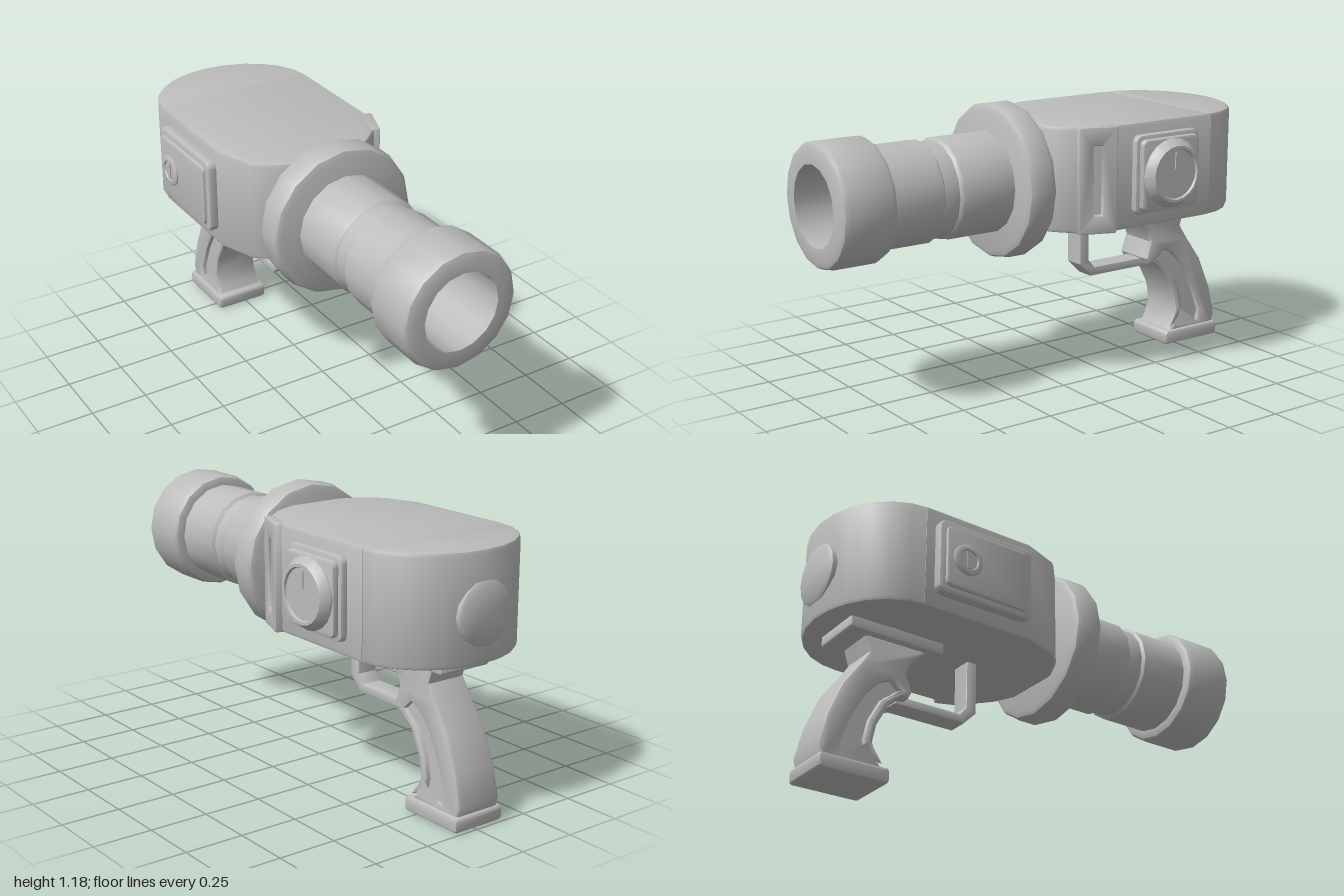
import * as THREE from 'three';
import { toCreasedNormals } from 'three/addons/utils/BufferGeometryUtils.js';

const AXIS_Y = 0.858; // height of the barrel axis
const grey = new THREE.MeshStandardMaterial({ color: 0xbcbcbc });
grey.name = 'plain grey';

function mesh(name, geometry, parent) {
  const m = new THREE.Mesh(toCreasedNormals(geometry, 0.7), grey);
  m.name = name;
  parent.add(m);
  return m;
}

const toShape = (pts) => new THREE.Shape(pts.map(([x, y]) => new THREE.Vector2(x, y)));

// Extrusion with softened edges that stays inside its outline, z from 0 to depth
function slab(shape, depth, bevel, curveSegments = 6) {
  const g = new THREE.ExtrudeGeometry(shape, {
    depth: depth - 2 * bevel, bevelEnabled: bevel > 0, bevelSize: bevel, bevelThickness: bevel,
    bevelOffset: -bevel, bevelSegments: 2, curveSegments,
  });
  return g.translate(0, 0, bevel);
}

// Plan outline [x, z] raised from y0 to y1
function planSlab(points, y0, y1, bevel) {
  return slab(toShape(points.map(([x, z]) => [x, -z])), y1 - y0, bevel)
    .rotateX(-Math.PI / 2).translate(0, y0, 0);
}

// Side shape drawn as (-z, y), spread across x from x0 to x1
function sideSlab(shape, x0, x1, bevel) {
  return slab(shape, x1 - x0, bevel).rotateY(Math.PI / 2).translate(x0, 0, 0);
}

function roundedRect(cx, cy, w, h, r) {
  const s = new THREE.Shape();
  const a = w / 2 - r, b = h / 2 - r;
  s.absarc(cx + a, cy + b, r, 0, Math.PI / 2);
  s.absarc(cx - a, cy + b, r, Math.PI / 2, Math.PI);
  s.absarc(cx - a, cy - b, r, Math.PI, Math.PI * 1.5);
  s.absarc(cx + a, cy - b, r, Math.PI * 1.5, Math.PI * 2);
  return s;
}

// Turned part from [radius, height] points, initially along y
const turned = (pts, sides) =>
  new THREE.LatheGeometry(pts.map(([r, h]) => new THREE.Vector2(r, h)), sides);

// Rounded outer corners of a collar between two heights
function collar(r, h0, h1, b) {
  const c = b * 0.3;
  return [[r - b, h0], [r - c, h0 + c], [r, h0 + b], [r, h1 - b], [r - c, h1 - c], [r - b, h1]];
}

function addBarrel(root) {
  const barrel = new THREE.Group();
  barrel.name = 'barrel';
  barrel.position.y = AXIS_Y;
  root.add(barrel);
  const add = (name, pts) => mesh(name, turned(pts, 16).rotateX(Math.PI / 2), barrel);
  add('mountingRing', [[0, 0.07], ...collar(0.327, 0.07, 0.205, 0.03), [0, 0.205]]);
  add('barrelTube', [
    [0.212, 0.19], [0.212, 0.44], [0.208, 0.45], [0.2, 0.458],
    [0.2, 0.525], [0.212, 0.535], [0.212, 0.78],
  ]);
  // Muzzle with an open bore
  add('muzzle', [
    [0.2, 0.76], ...collar(0.255, 0.76, 1, 0.03), [0.167, 1], [0.167, 0.35], [0, 0.35],
  ]);
}

function addBody(root) {
  const W = 0.357, y0 = 0.657, y1 = 1.105;
  const half = [[W, -0.705], [W, -0.2], [0.3, -0.04], [0.22, 0.03], [0.13, 0.072]];
  const mirrored = half.slice().reverse().map(([x, z]) => [-x, z]);
  mesh('mainBody', planSlab([...half, ...mirrored], y0, y1, 0.018), root);

  // Rounded rear housing
  const rear = [];
  for (let i = 0; i <= 12; i++) {
    const a = (i / 12) * Math.PI;
    rear.push([-W * Math.cos(a), -0.69 - 0.302 * Math.sin(a)]);
  }
  mesh('rearHousing', planSlab(rear, y0, y1, 0.018), root);
  mesh('rearCap', turned([[0.13, 0], [0.13, 0.03], [0.115, 0.04], [0, 0.04]], 16)
    .rotateX(-Math.PI / 2).translate(0, AXIS_Y, -0.96), root);

  // Angled side plate with a vertical slot
  const plate = new THREE.Group();
  plate.name = 'slottedPlate';
  plate.position.set(0.353, 0.881, -0.108);
  plate.rotation.y = 1.213;
  root.add(plate);
  const face = roundedRect(0, 0, 0.168, 0.446, 0.012);
  face.holes.push(roundedRect(0, 0, 0.04, 0.29, 0.004));
  mesh('plateFrame', slab(face, 0.07, 0.008, 2).translate(0, 0, -0.07), plate);
  mesh('slotFloor', new THREE.BoxGeometry(0.07, 0.32, 0.03).translate(0, 0, -0.04), plate);
}

function addDial(root) {
  const dial = new THREE.Group();
  dial.name = 'dial';
  root.add(dial);
  const z = -0.447, y = 0.885;
  mesh('dialBase', sideSlab(roundedRect(-z, y, 0.335, 0.335, 0.03), 0.34, 0.385, 0.01), dial);
  mesh('dialStep', sideSlab(roundedRect(-z, y, 0.3, 0.3, 0.025), 0.37, 0.41, 0.01), dial);
  mesh('dialKnob', turned([
    [0.146, 0], [0.146, 0.014], [0.12, 0.046], [0.108, 0.046], [0.104, 0.036], [0, 0.036],
  ], 20).rotateZ(-Math.PI / 2).translate(0.404, y, z), dial);
  mesh('dialPointer', new THREE.BoxGeometry(0.008, 0.07, 0.016)
    .translate(0.442, y + 0.058, z), dial);
}

function addLeftPanel(root) {
  const panel = new THREE.Group();
  panel.name = 'leftPanel';
  root.add(panel);
  const y = 0.883, z = -0.442;
  mesh('panelBase', sideSlab(roundedRect(-z, y, 0.445, 0.325, 0.035), -0.395, -0.34, 0.012), panel);
  mesh('panelCover', sideSlab(roundedRect(-z, y, 0.39, 0.27, 0.025), -0.408, -0.38, 0.008), panel);
  // Latch with a slit across its face
  mesh('latch', turned([
    [0.068, 0], [0.068, 0.012], [0.06, 0.017], [0.045, 0.017], [0.042, 0.011], [0, 0.011],
  ], 16).rotateZ(Math.PI / 2).translate(-0.402, y, -0.543), panel);
  mesh('latchBar', new THREE.BoxGeometry(0.008, 0.075, 0.018).translate(-0.414, y, -0.543), panel);
}

function addHandle(root) {
  const handle = new THREE.Group();
  handle.name = 'handle';
  root.add(handle);
  mesh('handleMount', sideSlab(roundedRect(0.675, 0.64, 0.43, 0.06, 0.01), -0.122, 0.122, 0.01), handle);
  mesh('handleFoot', sideSlab(roundedRect(0.84, 0.0325, 0.305, 0.065, 0.018), -0.122, 0.122, 0.015), handle);

  // The grip widens slightly towards the foot
  const flare = (g) => {
    const p = g.attributes.position;
    for (let i = 0; i < p.count; i++) p.setX(i, p.getX(i) * (1.16 - 0.3 * p.getY(i)));
    return g;
  };
  const outline = toShape([
    [0.71, 0.05], [0.735, 0.09], [0.757, 0.16], [0.74, 0.24], [0.687, 0.338], [0.64, 0.386],
    [0.6, 0.391], [0.585, 0.418], [0.612, 0.493], [0.59, 0.552], [0.516, 0.615],
    [0.805, 0.615], [0.783, 0.545], [0.82, 0.488], [0.9, 0.375], [0.96, 0.23],
    [0.99, 0.1], [0.976, 0.05],
  ].reverse());
  const inset = [
    [0.74, 0.085], [0.785, 0.11], [0.797, 0.165], [0.78, 0.25], [0.728, 0.348], [0.65, 0.41],
    [0.685, 0.445], [0.73, 0.425], [0.79, 0.36], [0.85, 0.25], [0.895, 0.13], [0.885, 0.085],
  ];
  outline.holes.push(new THREE.Path(inset.map(([x, y]) => new THREE.Vector2(x, y))));
  mesh('gripFrame', flare(sideSlab(outline, -0.094, 0.094, 0.016)), handle);
  // Recessed side panels fill the frame
  const core = inset.map(([x, y]) => [0.78 + (x - 0.78) * 1.12, 0.25 + (y - 0.25) * 1.05]);
  mesh('gripPanels', flare(sideSlab(toShape(core), -0.076, 0.076, 0)), handle);

  const guard = toShape([
    [0.25, 0.68], [0.25, 0.435], [0.31, 0.375], [0.64, 0.375], [0.61, 0.413],
    [0.33, 0.413], [0.298, 0.45], [0.298, 0.68],
  ]);
  mesh('triggerGuard', sideSlab(guard, -0.047, 0.047, 0.006), handle);
}

export function createModel() {
  const root = new THREE.Group();
  root.name = 'handheldDevice';
  const device = new THREE.Group();
  device.name = 'device';
  device.position.x = -0.02;
  root.add(device);
  addBarrel(device);
  addBody(device);
  addDial(device);
  addLeftPanel(device);
  addHandle(device);
  return root;
}
